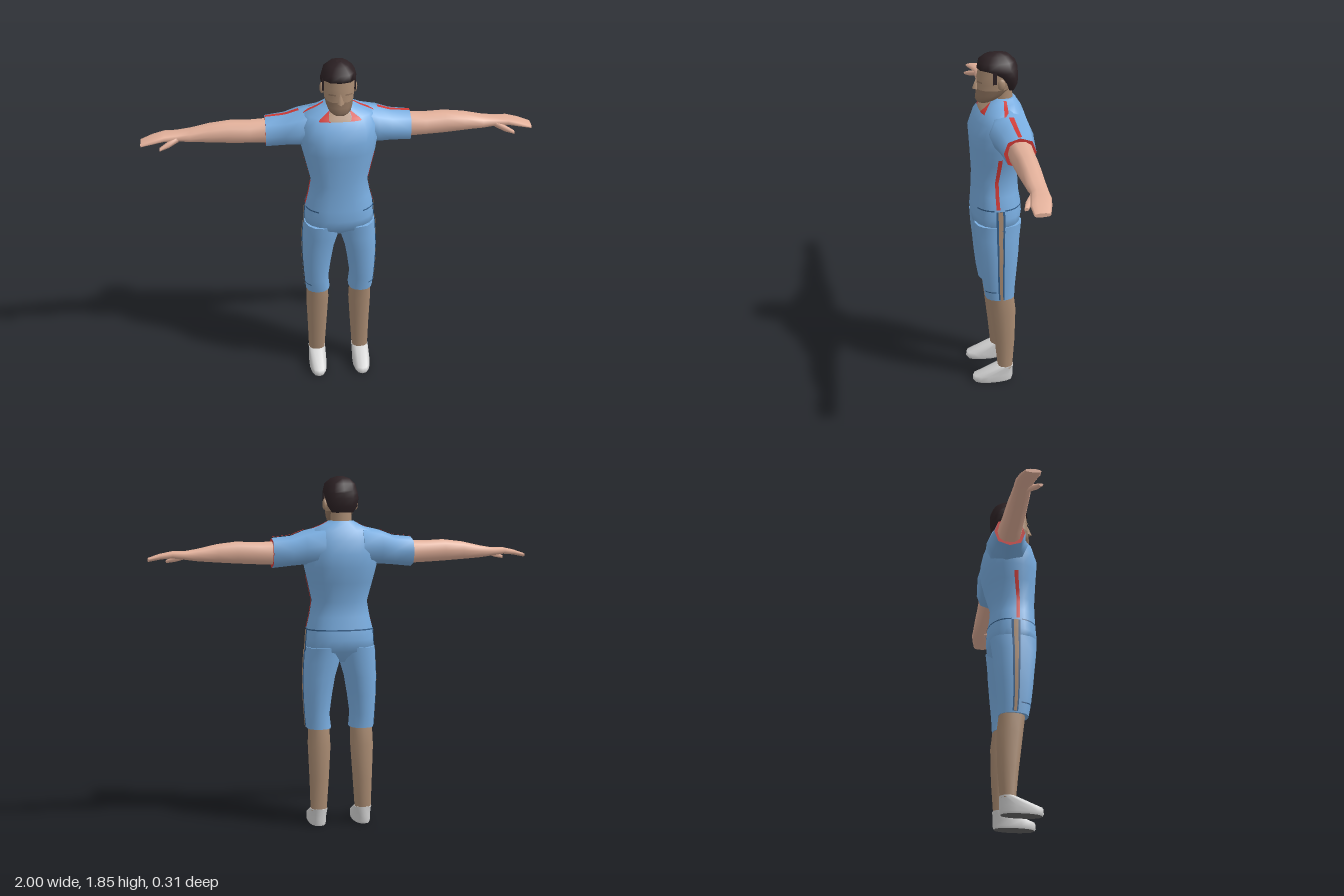
import * as THREE from 'three';

const mat = (name, color, side = THREE.FrontSide) => {
  const m = new THREE.MeshStandardMaterial({ color, side });
  m.name = name;
  return m;
};

// Point on a body section. Row = [t, aLo, aHi, zLo, zHi]; u = 0 is the front.
function sectionPoint(r, u, axis, off = 0) {
  const s = Math.sin(u * Math.PI * 2), c = Math.cos(u * Math.PI * 2), e = 0.85;
  const a = Math.sign(s) * Math.abs(s) ** e * ((r[2] - r[1]) / 2 + off);
  const z = (r[3] + r[4]) / 2 + Math.sign(c) * Math.abs(c) ** e * ((r[4] - r[3]) / 2 + off);
  const mid = (r[1] + r[2]) / 2;
  return axis === 'y' ? [mid + a, r[0], z] : [r[0], mid - a, z];
}

function makeGeometry(pos, index) {
  const g = new THREE.BufferGeometry();
  g.setAttribute('position', new THREE.Float32BufferAttribute(pos, 3));
  g.setIndex(index);
  g.computeVertexNormals();
  return g;
}

// Closed skin through the rows, group 0 = sides, 1 = start cap, 2 = end cap
function loft(rows, axis = 'y', n = 12) {
  const pos = [], index = [];
  const ring = r => { for (let i = 0; i < n; i++) pos.push(...sectionPoint(r, i / n, axis)); };
  rows.forEach(ring);
  for (let j = 0; j < rows.length - 1; j++)
    for (let i = 0; i < n; i++) {
      const a = j * n + i, b = j * n + (i + 1) % n;
      index.push(a, b, b + n, a, b + n, a + n);
    }
  const groups = [[0, index.length]];
  [rows[0], rows[rows.length - 1]].forEach((r, k) => {
    const base = pos.length / 3, start = index.length;
    ring(r);
    for (let i = 1; i < n - 1; i++)
      index.push(base, base + (k ? i : i + 1), base + (k ? i + 1 : i));
    groups.push([start, index.length - start]);
  });
  const g = makeGeometry(pos, index);
  groups.forEach(([s, c], k) => g.addGroup(s, c, k));
  return g;
}

// Thin panel lying on a loft between four [t, u] corners
function patch(rows, axis, corners, off = 0.005, n = 8) {
  const pos = [], index = [];
  const [A, B, C, D] = corners;
  const mix = (p, q, k) => p + (q - p) * k;
  for (let j = 0; j <= n; j++)
    for (let i = 0; i <= n; i++) {
      const [t, u] = [0, 1].map(k => mix(mix(A[k], B[k], i / n), mix(D[k], C[k], i / n), j / n));
      let k = 0;
      while (k < rows.length - 2 && rows[k + 1][0] < t) k++;
      const f = (t - rows[k][0]) / (rows[k + 1][0] - rows[k][0]);
      pos.push(...sectionPoint(rows[k].map((v, m) => mix(v, rows[k + 1][m], f)), u, axis, off));
      if (i < n && j < n) {
        const a = j * (n + 1) + i;
        index.push(a, a + 1, a + n + 2, a, a + n + 2, a + n + 1);
      }
    }
  return makeGeometry(pos, index);
}

function mirrored(g) {
  const m = g.clone().scale(-1, 1, 1);
  const ix = m.index.array;
  for (let i = 0; i < ix.length; i += 3) [ix[i], ix[i + 1]] = [ix[i + 1], ix[i]];
  m.computeVertexNormals();
  return m;
}

const strip = (t0, t1, u, w) => [[t0, u - w], [t0, u + w], [t1, u + w], [t1, u - w]];
const sym = rows => rows.map(([y, w, b, f]) => [y, -w, w, b, f]);

export function createModel() {
  const model = new THREE.Group();
  model.name = 'person';
  const D = THREE.DoubleSide;
  const blue = mat('blueCloth', 0x79ade0), navy = mat('darkSeam', 0x35608c, D), red = mat('redTrim', 0xd03a36, D);
  const armSkin = mat('armSkin', 0xe2b09a), skin = mat('tanSkin', 0xa98b72, D), stubble = mat('stubble', 0x8f745f, D);
  const hair = mat('hair', 0x2c2124), shoe = mat('shoe', 0xd2d2d2), sole = mat('sole', 0x666666);

  const add = (name, g, m) => {
    const mesh = new THREE.Mesh(g, m);
    mesh.name = name;
    model.add(mesh);
  };
  const both = (name, g, m) => {
    add(name + 'Left', g, m);
    add(name + 'Right', mirrored(g), m);
  };

  // Torso and hips
  const torso = sym([
    [0.88, 0.1, -0.05, 0.06], [0.94, 0.183, -0.11, 0.135], [1.0, 0.18, -0.12, 0.145], [1.06, 0.175, -0.115, 0.14],
    [1.12, 0.16, -0.105, 0.137], [1.2, 0.146, -0.1, 0.135], [1.3, 0.17, -0.13, 0.14], [1.38, 0.19, -0.148, 0.145],
    [1.45, 0.2, -0.155, 0.15], [1.52, 0.2, -0.14, 0.125], [1.57, 0.175, -0.12, 0.085], [1.6, 0.1, -0.1, 0.05],
    [1.62, 0.065, -0.085, 0.03]]);
  add('torso', loft(torso, 'y', 20), blue);
  add('waistSeamBack', patch(torso, 'y', [[1.05, 0.27], [1.05, 0.73], [1.057, 0.73], [1.057, 0.27]], 0.004, 20), navy);
  both('waistSeamFront', patch(torso, 'y', [[1.05, 0.1], [1.05, 0.22], [1.057, 0.22], [1.057, 0.1]], 0.004), navy);
  both('sidePiping', patch(torso, 'y', strip(1.06, 1.34, 0.24, 0.009), 0.004), red);
  both('shoulderPiping', patch(torso, 'y', strip(1.565, 1.617, 0.25, 0.012), 0.005), red);
  both('collar', patch(torso, 'y', [[1.56, 0.033], [1.56, 0.088], [1.606, 0.075], [1.606, 0.07]], 0.006), red);
  add('openNeck', patch(torso, 'y', [[1.56, -0.033], [1.56, 0.033], [1.61, 0.07], [1.61, -0.07]], 0.005), skin);

  // Sleeves and arms
  const sleeve = [[0.1, 1.4, 1.595, -0.14, 0.06], [0.2, 1.395, 1.572, -0.147, 0.075],
    [0.27, 1.39, 1.545, -0.14, 0.05], [0.37, 1.38, 1.535, -0.13, 0.033]];
  both('sleeve', loft(sleeve, 'x', 8), [blue, blue, red]);
  both('sleevePiping', patch(sleeve, 'x', strip(0.2, 0.368, 0.75, 0.012), 0.005), red);
  both('arm', loft([
    [0.33, 1.395, 1.52, -0.115, 0.015], [0.45, 1.4, 1.515, -0.11, 0.01], [0.55, 1.405, 1.52, -0.105, 0.008],
    [0.65, 1.412, 1.508, -0.103, 0.003], [0.75, 1.42, 1.485, -0.1, -0.003], [0.82, 1.43, 1.473, -0.097, -0.01],
    [0.88, 1.437, 1.473, -0.095, 0.003], [0.94, 1.432, 1.46, -0.085, 0.015], [1, 1.42, 1.44, -0.068, 0.01]], 'x', 10), armSkin);
  both('thumb', loft([[0.81, 1.43, 1.46, -0.04, -0.01], [0.86, 1.415, 1.447, -0.015, 0.022],
    [0.905, 1.408, 1.425, 0.014, 0.036]], 'x', 6), armSkin);

  // Shorts with side stripes
  const shorts = [[0.525, 0.05, 0.181, -0.072, 0.085], [0.6, 0.058, 0.187, -0.075, 0.098], [0.7, 0.045, 0.193, -0.085, 0.11],
    [0.8, 0.028, 0.195, -0.095, 0.12], [0.88, 0.004, 0.191, -0.102, 0.13], [0.96, -0.006, 0.186, -0.112, 0.136]];
  both('shortsLeg', loft(shorts, 'y', 14), blue);
  both('hemSeam', patch(shorts, 'y', [[0.576, 0.07], [0.576, 0.21], [0.582, 0.21], [0.582, 0.07]], 0.004), navy);
  [['stripeEdge', 0.02, 0.004, navy], ['stripe', 0.009, 0.006, skin]].forEach(([name, w, off, m]) => {
    both(name + 'Leg', patch(shorts, 'y', strip(0.53, 0.945, 0.25, w), off), m);
    both(name + 'Hip', patch(torso, 'y', strip(0.94, 1.05, 0.25, w), off), m);
  });

  // Lower legs and shoes
  both('lowerLeg', loft([[0.08, 0.077, 0.165, -0.062, 0.018], [0.25, 0.066, 0.17, -0.075, 0.035],
    [0.43, 0.055, 0.177, -0.08, 0.056], [0.55, 0.06, 0.173, -0.066, 0.07]], 'y', 12), skin);
  both('shoe', loft([[0, 0.078, 0.165, -0.06, 0.15], [0.012, 0.074, 0.169, -0.064, 0.158],
    [0.04, 0.074, 0.169, -0.065, 0.155], [0.092, 0.074, 0.167, -0.067, 0.022]], 'y', 14), [shoe, sole, shoe]);

  // Neck, jaw and face
  add('neck', loft(sym([[1.55, 0.06, -0.08, 0.035], [1.62, 0.055, -0.078, 0.025], [1.68, 0.055, -0.075, 0.03]])), skin);
  add('jaw', loft(sym([[1.598, 0.035, 0.03, 0.105], [1.615, 0.056, 0, 0.115], [1.64, 0.067, -0.04, 0.112],
    [1.67, 0.074, -0.068, 0.108]])), stubble);
  const face = sym([[1.67, 0.074, -0.068, 0.108], [1.7, 0.077, -0.078, 0.106], [1.74, 0.08, -0.085, 0.104],
    [1.8, 0.076, -0.085, 0.095]]);
  add('face', loft(face), skin);
  both('eyebrow', patch(face, 'y', [[1.71, 0.035], [1.708, 0.12], [1.715, 0.12], [1.718, 0.035]], 0.004), stubble);
  const nose = new THREE.ConeGeometry(0.018, 0.055, 4).scale(1, 1, 1.2);
  add('nose', nose.translate(0, 1.693, 0.108), skin);
  both('ear', new THREE.SphereGeometry(1, 8, 6).scale(0.012, 0.03, 0.02).translate(0.083, 1.705, -0.008), skin);

  // Hair: long at the nape, with a high front hairline
  add('hair', loft(sym([[1.662, 0.055, -0.085, -0.045], [1.695, 0.078, -0.1, -0.028], [1.735, 0.088, -0.104, 0.005],
    [1.762, 0.09, -0.104, 0.06], [1.775, 0.089, -0.103, 0.106], [1.81, 0.08, -0.09, 0.099],
    [1.838, 0.05, -0.06, 0.066], [1.85, 0.012, -0.012, 0.02]])), hair);
  both('sideburn', new THREE.BoxGeometry(0.008, 0.065, 0.02).translate(0.08, 1.74, 0.025), hair);
  return model;
}
